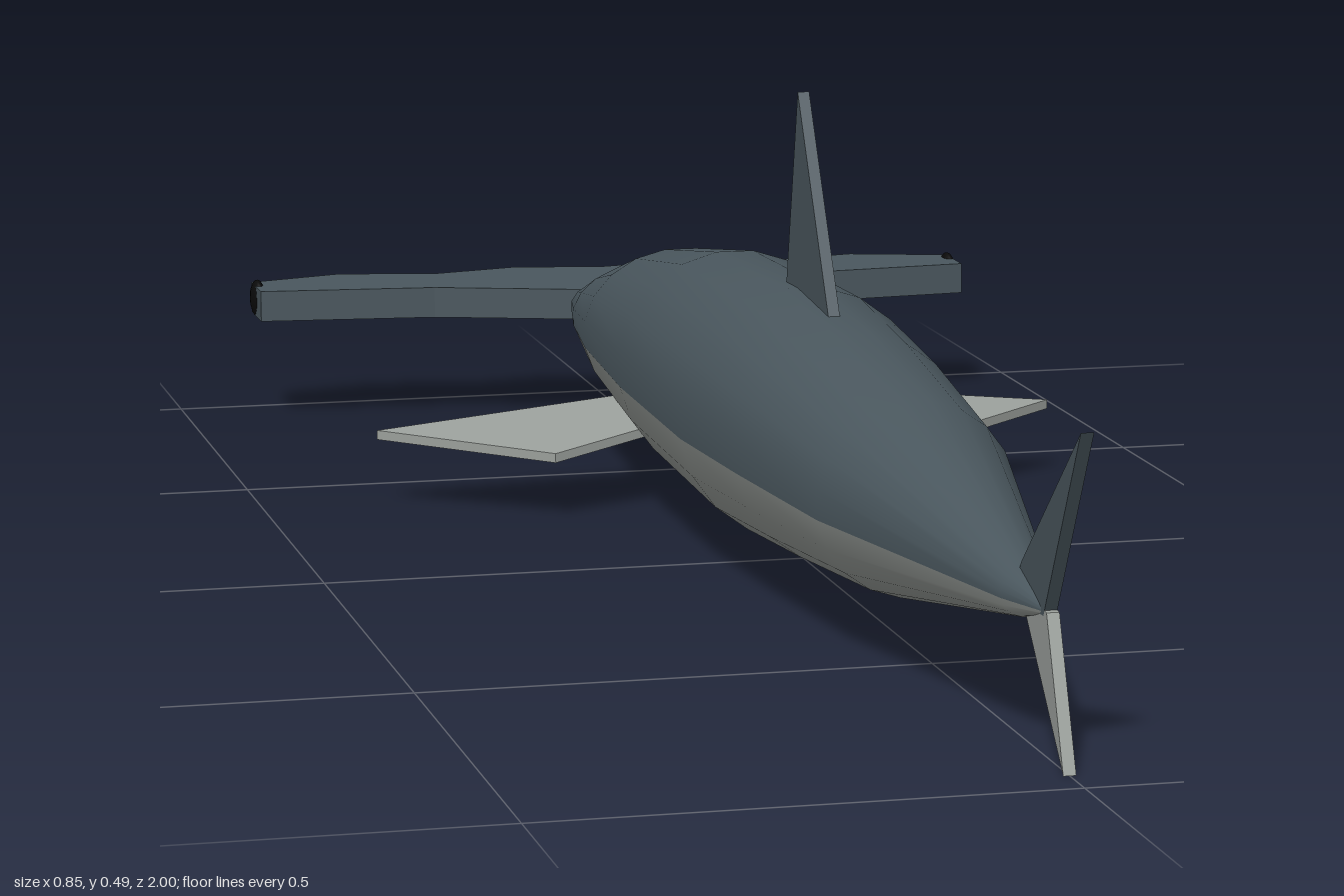
import * as THREE from 'three';

const slate = new THREE.MeshStandardMaterial({ color: 0x4a575e, side: THREE.DoubleSide });
const pale = new THREE.MeshStandardMaterial({ color: 0x9a9f9b, side: THREE.DoubleSide });
const black = new THREE.MeshStandardMaterial({ color: 0x0a0a0a });

function add(group, name, geometry, material) {
  const mesh = new THREE.Mesh(geometry, material);
  mesh.name = name;
  group.add(mesh);
  return mesh;
}

// Body stations: [z, centre y, half width, half height]
const stations = [
  [0.89, 0.134, 0.004, 0.004], [0.82, 0.136, 0.025, 0.022], [0.44, 0.147, 0.098, 0.095],
  [0.2, 0.151, 0.119, 0.117], [0, 0.152, 0.13, 0.131], [-0.3, 0.152, 0.127, 0.123],
  [-0.56, 0.146, 0.11, 0.092], [-0.7, 0.142, 0.093, 0.06], [-0.785, 0.14, 0.077, 0.036],
];
const SIDES = 20;

// A lengthwise strip of the hull between two side indices
function hull(from, to) {
  const pos = [], index = [], n = to - from + 1;
  for (const [z, cy, rx, ry] of stations) {
    for (let i = from; i <= to; i++) {
      const a = ((i - 0.5) / SIDES) * Math.PI * 2;
      pos.push(rx * 1.012 * Math.cos(a), cy + ry * 1.012 * Math.sin(a), z);
    }
  }
  for (let s = 0; s < stations.length - 1; s++) {
    for (let i = 0; i < n - 1; i++) {
      const a = s * n + i, b = a + 1, c = a + n, d = c + 1;
      index.push(a, b, c, b, d, c);
    }
  }
  const g = new THREE.BufferGeometry();
  g.setAttribute('position', new THREE.Float32BufferAttribute(pos, 3));
  g.setIndex(index);
  // Orient the faces outwards
  g.computeVertexNormals();
  const k = 4 * n + (n >> 1);
  const p = g.attributes.position, q = g.attributes.normal;
  if (p.getX(k) * q.getX(k) + (p.getY(k) - 0.152) * q.getY(k) < 0) {
    g.setIndex(index.reverse());
    g.computeVertexNormals();
  }
  return g;
}

// Flat convex plate through 3D corners, thickened along an axis
function plate(corners, thickness) {
  const half = new THREE.Vector3(...thickness).multiplyScalar(0.5);
  const pts = corners.map((c) => new THREE.Vector3(...c));
  const top = pts.map((p) => p.clone().add(half));
  const low = pts.map((p) => p.clone().sub(half));
  const normal = pts[1].clone().sub(pts[0]).cross(pts[2].clone().sub(pts[0]));
  const flip = normal.dot(half) < 0;
  const out = [];
  const tri = (a, b, c) => (flip ? [a, c, b] : [a, b, c]).forEach((p) => out.push(p.x, p.y, p.z));
  pts.forEach((_, i) => {
    const j = (i + 1) % pts.length;
    tri(low[i], low[j], top[j]);
    tri(low[i], top[j], top[i]);
    if (i > 0 && j > 0) {
      tri(top[0], top[i], top[j]);
      tri(low[0], low[j], low[i]);
    }
  });
  const g = new THREE.BufferGeometry();
  g.setAttribute('position', new THREE.Float32BufferAttribute(out, 3));
  g.computeVertexNormals();
  return g;
}

export function createModel() {
  const shark = new THREE.Group();
  shark.name = 'hammerheadShark';

  // Two-tone body: slate back, pale belly
  add(shark, 'back', hull(0, 11), slate);
  add(shark, 'belly', hull(11, 20), pale);

  // Closed front end of the body
  const [ez, ey, erx, ery] = stations[stations.length - 1];
  const cap = add(shark, 'bodyEnd', new THREE.CircleGeometry(1, SIDES), slate);
  cap.scale.set(erx, ery, 1);
  cap.rotation.y = Math.PI;
  cap.position.set(0, ey, ez);

  // Hammer head: scalloped front edge, swept rear edge
  const right = [[0.1, -1], [0.2, -0.975], [0.31, -1], [0.42, -0.965],
    [0.42, -0.895], [0.22, -0.875], [0.03, -0.81]];
  const outline = [[0, -0.978], ...right, ...right.map(([x, z]) => [-x, z]).reverse()];
  const headShape = new THREE.Shape(outline.map(([x, z]) => new THREE.Vector2(x, -z)));
  const headGeo = new THREE.ExtrudeGeometry(headShape, { depth: 0.035, bevelEnabled: false });
  headGeo.rotateX(-Math.PI / 2);
  add(shark, 'hammerHead', headGeo, slate).position.y = 0.118;

  // Lower jaw joining head and body
  const jaw = add(shark, 'jaw', new THREE.BoxGeometry(0.06, 0.016, 0.11), pale);
  jaw.position.set(0, 0.113, -0.79);

  // Dorsal fin and the two tail lobes
  const thin = [0.012, 0, 0];
  add(shark, 'dorsalFin', plate([[0, 0.25, 0.14], [0, 0.485, 0], [0, 0.25, -0.055]], thin), slate);
  add(shark, 'upperTailFin',
    plate([[0, 0.13, 0.79], [0, 0.165, 0.82], [0, 0.315, 1], [0, 0.13, 0.89]], thin), slate);
  add(shark, 'lowerTailFin',
    plate([[0, 0.145, 0.81], [0, 0.135, 0.9], [0, 0, 0.955]], thin), pale);

  // Paired pectoral fins and eyes
  for (const s of [1, -1]) {
    const side = s > 0 ? 'left' : 'right';
    add(shark, side + 'PectoralFin', plate([
      [s * 0.08, 0.098, -0.425], [s * 0.376, 0.076, -0.386],
      [s * 0.206, 0.066, -0.26], [s * 0.08, 0.083, -0.315],
    ], [0, 0.01, 0]), pale);
    const eye = add(shark, side + 'Eye', new THREE.SphereGeometry(0.022, 12, 8), black);
    eye.scale.x = 0.4;
    eye.position.set(s * 0.416, 0.137, -0.945);
  }
  return shark;
}
